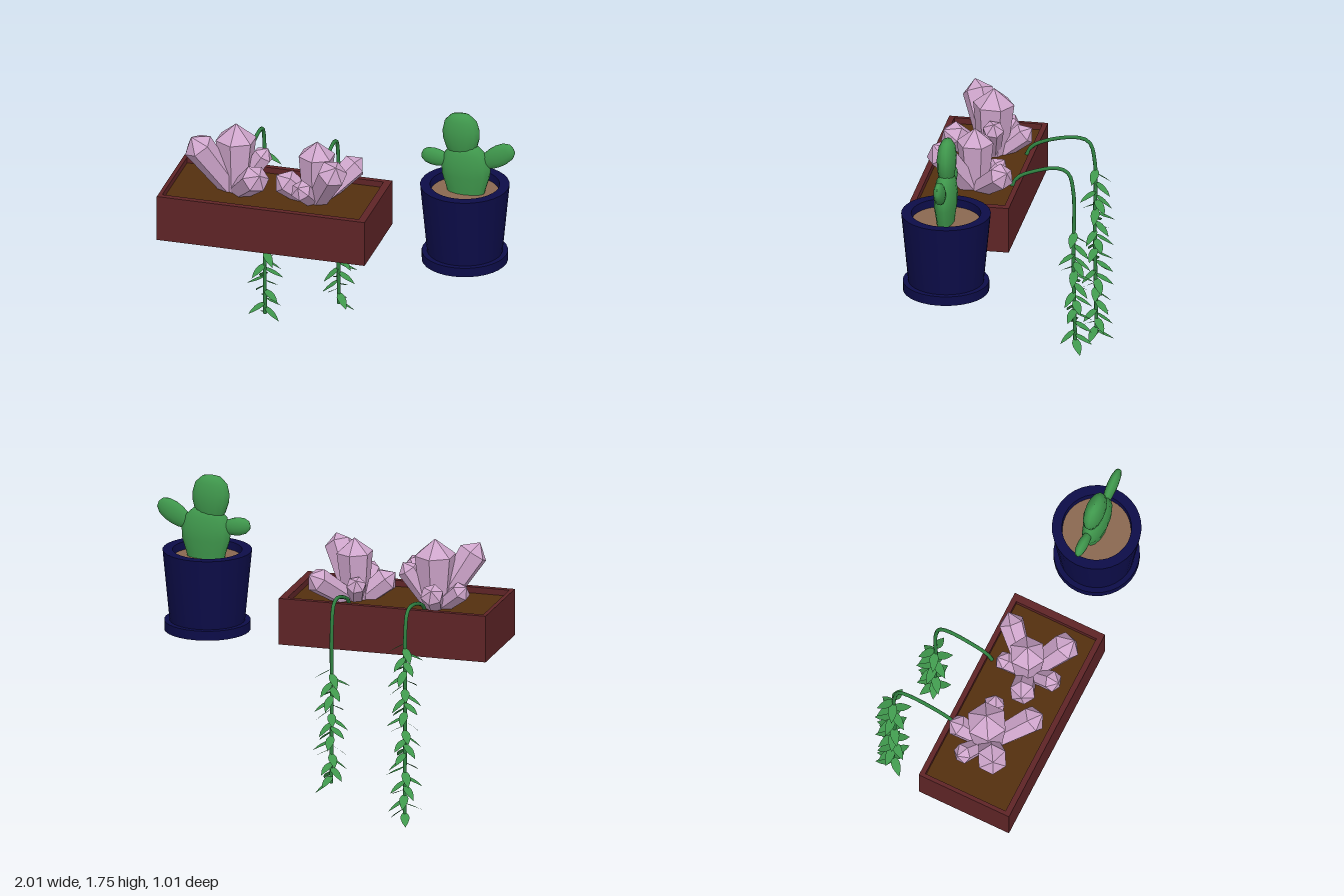
import * as THREE from 'three';
import { toCreasedNormals } from 'three/addons/utils/BufferGeometryUtils.js';

const mat = (name, color, extra = {}) => {
  const m = new THREE.MeshStandardMaterial({ color, ...extra });
  m.name = name;
  return m;
};

export function createModel() {
  const wood = mat('dark red wood', 0x5e2426);
  const soil = mat('brown soil', 0x54300f);
  const glaze = mat('navy glaze', 0x0c0c48);
  const sand = mat('tan sand', 0x8a6850);
  const crystalPink = mat('pale violet crystal', 0xcfa6cc, { flatShading: true });
  const cactusGreen = mat('cactus green', 0x3f974c);
  const stemGreen = mat('stem green', 0x2f8040);
  const leafGreen = mat('leaf green', 0x3f974c, { side: THREE.DoubleSide });

  const model = new THREE.Group();
  model.name = 'windowPlants';
  const add = (parent, name, geo, material, x = 0, y = 0, z = 0) => {
    const m = new THREE.Mesh(geo, material);
    m.name = name;
    m.position.set(x, y, z);
    parent.add(m);
    return m;
  };
  const group = (name) => {
    const g = new THREE.Group();
    g.name = name;
    model.add(g);
    return g;
  };
  const v2 = (pts) => pts.map(([x, y]) => new THREE.Vector2(x, y));

  // Planter: open frame, base and recessed soil
  const planter = group('planterBox');
  const rect = (C, x0, x1, z0, z1) =>
    new C(v2([[x0, -z1], [x1, -z1], [x1, -z0], [x0, -z0]]));
  const frame = rect(THREE.Shape, -1, 0.215, -0.06, 0.505);
  frame.holes.push(rect(THREE.Path, -0.977, 0.172, -0.03, 0.472));
  const frameGeo = new THREE.ExtrudeGeometry(frame, { depth: 0.27, bevelEnabled: false });
  frameGeo.rotateX(-Math.PI / 2);
  add(planter, 'planterWalls', frameGeo, wood, 0, 0.88, 0);
  add(planter, 'planterBase', new THREE.BoxGeometry(1.2, 0.02, 0.55), wood, -0.393, 0.8905, 0.2225);
  add(planter, 'planterSoil', new THREE.BoxGeometry(1.16, 0.2, 0.51), soil, -0.4025, 1.015, 0.221);

  // Crystal: six-sided shaft that widens to a shoulder, then a point
  const crystal = (parent, base, tip, r) => {
    const a = new THREE.Vector3(...base), d = new THREE.Vector3(...tip).sub(a);
    const len = d.length(), shoulder = len - r * 0.8;
    const geo = new THREE.LatheGeometry(
      v2([[0, 0], [r * 0.68, 0], [r, shoulder], [0, len]]), 6);
    const m = add(parent, 'crystal', geo, crystalPink, ...base);
    m.quaternion.setFromUnitVectors(new THREE.Vector3(0, 1, 0), d.normalize());
  };
  // Each entry: tip x, y, z, radius
  const clusters = [
    ['leftCrystalCluster', [-0.63, 1.08, 0.19], [
      [-0.63, 1.505, 0.18, 0.118], [-0.85, 1.46, 0.33, 0.088],
      [-0.42, 1.32, 0.43, 0.08], [-0.45, 1.36, 0.15, 0.06],
      [-0.84, 1.26, 0.1, 0.058], [-0.67, 1.26, -0.03, 0.066],
    ]],
    ['rightCrystalCluster', [-0.16, 1.08, 0.2], [
      [-0.15, 1.465, 0.2, 0.105], [0.02, 1.42, 0.41, 0.085],
      [0.05, 1.29, -0.02, 0.075], [-0.37, 1.26, 0.27, 0.075],
      [-0.2, 1.27, 0.42, 0.06], [-0.21, 1.26, 0.04, 0.056],
    ]],
  ];
  for (const [name, base, tips] of clusters) {
    const g = group(name);
    for (const [x, y, z, r] of tips) crystal(g, base, [x, y, z], r);
  }

  // Plant pot with saucer
  const pot = group('plantPot');
  pot.position.set(0.715, 0, 0.205);
  const turned = (pts) => toCreasedNormals(new THREE.LatheGeometry(v2(pts), 32), 0.6);
  add(pot, 'potBody', turned([[0, 0.88], [0.21, 0.88], [0.252, 1.32], [0.196, 1.32], [0.19, 1.24]]), glaze);
  add(pot, 'saucer', turned([[0, 0.855], [0.243, 0.855], [0.243, 0.91], [0.2, 0.91]]), glaze);
  add(pot, 'potSand', new THREE.CylinderGeometry(0.194, 0.19, 0.03, 32), sand, 0, 1.26, 0);

  // Cactus pads: flattened turned shapes, narrow at the foot
  const cactus = group('cactus');
  const pad = (name, x, y, len, w, depth, tilt, foot) => {
    const pts = [[foot, 0], [0.82, 0.2], [0.98, 0.42], [1, 0.6], [0.86, 0.82], [0.5, 0.96], [0, 1]];
    const m = add(cactus, name,
      new THREE.LatheGeometry(v2(pts), 14), cactusGreen, x, y, 0.205);
    m.scale.set(w, len, depth);
    m.rotation.z = tilt;
  };
  pad('lowerPad', 0.722, 1.24, 0.335, 0.143, 0.064, 0, 0.7);
  pad('upperPad', 0.698, 1.49, 0.27, 0.108, 0.054, 0.03, 0.5);
  pad('rightArm', 0.625, 1.455, 0.165, 0.052, 0.03, 1.42, 0.35);
  pad('leftArm', 0.815, 1.455, 0.222, 0.062, 0.03, -0.98, 0.35);

  // Leaf: pointed oval along +z with a folded midrib and a drooping tip
  const leafShape = new THREE.Shape();
  leafShape.moveTo(0, 0);
  leafShape.bezierCurveTo(0.034, 0.015, 0.034, 0.06, 0, 0.115);
  leafShape.bezierCurveTo(-0.034, 0.06, -0.034, 0.015, 0, 0);
  const leafGeo = new THREE.ShapeGeometry(leafShape, 5);
  const p = leafGeo.attributes.position;
  for (let i = 0; i < p.count; i++) {
    const x = p.getX(i), l = p.getY(i);
    p.setXYZ(i, -x, -Math.abs(x) * 0.3 - l * l * 2.5, l);
  }
  leafGeo.computeVertexNormals();

  // Trailing vines over the back edge; leaves turn around the stem, mostly backward
  const turns = [1.5, 3.6, -1.4, 2.7, -2.2, 0.9, 3.1, 2.1, -0.7];
  const vine = (name, x, z, bottom, leafTop, count) => {
    const g = group(name);
    const path = new THREE.CatmullRomCurve3([
      [x, 1.1, 0.0], [x, 1.165, -0.035], [x, 1.215, -0.14], [x, 1.24, z + 0.09],
      [x, 1.215, z + 0.03], [x, 1.1, z], [x, 0.7, z], [x, bottom + 0.05, z - 0.01],
    ].map((q) => new THREE.Vector3(...q)));
    add(g, 'vineStem', new THREE.TubeGeometry(path, 48, 0.011, 8), stemGreen);
    for (let i = 0; i < count; i++) {
      const t = i / (count - 1);
      const leaf = add(g, 'leaf', leafGeo, leafGreen,
        x, THREE.MathUtils.lerp(leafTop, bottom + 0.07, t), z - 0.008);
      leaf.rotation.order = 'YXZ';
      leaf.rotation.set(0.3 + 0.12 * Math.sin(i * 2.3), turns[i % turns.length] + 0.2 * Math.sin(i), 0);
    }
  };
  vine('longVine', -0.63, -0.395, 0.0, 1.06, 38);
  vine('shortVine', -0.187, -0.355, 0.14, 0.86, 26);

  return model;
}
